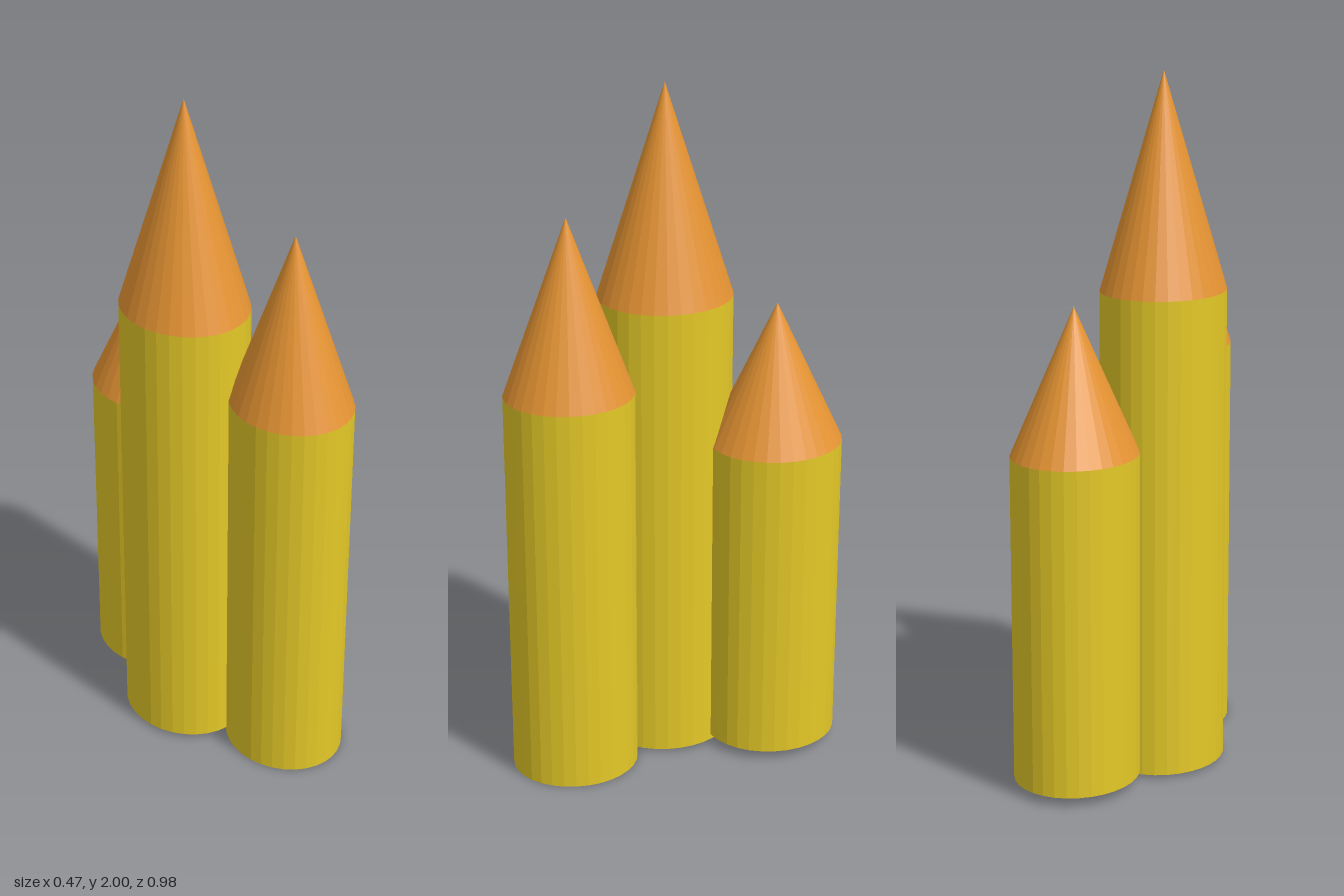
import * as THREE from 'three';

const SIDES = 32;

export function createModel() {
  const yellow = new THREE.MeshStandardMaterial({ color: 0xe4c827, flatShading: true });
  yellow.name = 'yellow';
  const orange = new THREE.MeshStandardMaterial({ color: 0xe69433, flatShading: true });
  orange.name = 'orange';

  // One oval column with a pointed cap
  function pointedColumn(name, { x, z, rx, rz, base, shoulder, tip }) {
    const column = new THREE.Group();
    column.name = name;
    column.position.set(x, 0, z);
    column.scale.set(rx, 1, rz);

    const bodyHeight = shoulder - base;
    const body = new THREE.Mesh(new THREE.CylinderGeometry(1, 1, bodyHeight, SIDES), yellow);
    body.name = 'body';
    body.position.y = base + bodyHeight / 2;

    const capHeight = tip - shoulder;
    const cap = new THREE.Mesh(new THREE.ConeGeometry(1, capHeight, SIDES, 1, true), orange);
    cap.name = 'pointedCap';
    cap.position.y = shoulder + capHeight / 2;

    column.add(body, cap);
    return column;
  }

  const model = new THREE.Group();
  model.name = 'pointedColumns';
  model.add(
    pointedColumn('frontColumn', { x: 0.06, z: 0.306, rx: 0.165, rz: 0.185, base: 0, shoulder: 1.17, tip: 1.68 }),
    pointedColumn('middleColumn', { x: -0.063, z: -0.003, rx: 0.175, rz: 0.195, base: 0.01, shoulder: 1.39, tip: 2 }),
    pointedColumn('backColumn', { x: 0.06, z: -0.296, rx: 0.175, rz: 0.195, base: 0.027, shoulder: 0.967, tip: 1.38 })
  );
  return model;
}
